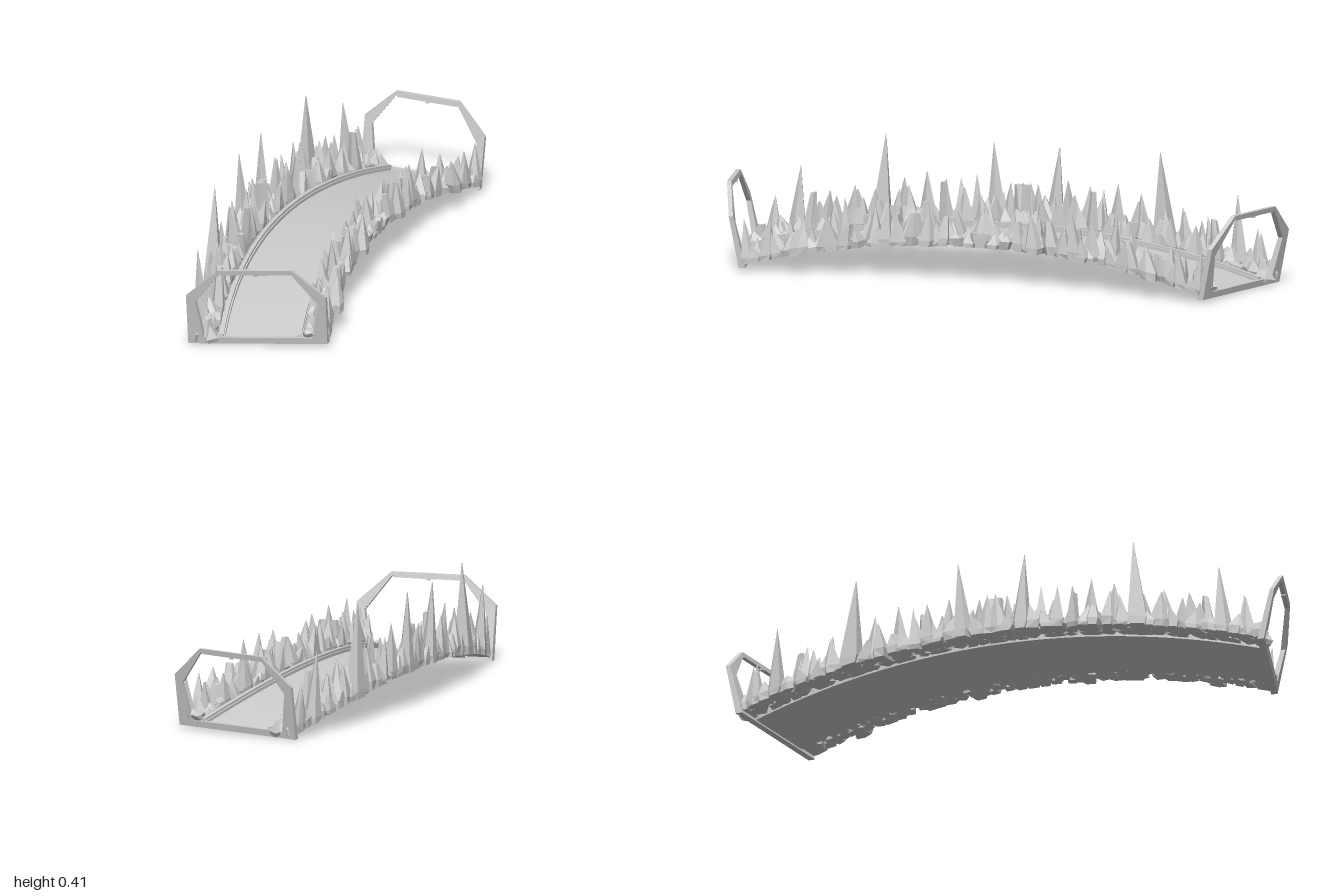
import * as THREE from 'three';
import { mergeGeometries } from 'three/addons/utils/BufferGeometryUtils.js';

const R = 4;            // plan radius of the curved road
const HALF = 0.905;     // half of the road length along the arc
const grey = (flatShading) => new THREE.MeshStandardMaterial({ color: 0xcccccc, flatShading });

// Maps road space (across, height, along) to the arched, bent and slightly banked road
function bend(v) {
  const t = v.z / R;
  return v.set(
    R - 0.045 - (R - v.x) * Math.cos(t),
    0.13 - 0.128 * v.z * v.z + 0.55 * v.x * t * t + v.y,
    (R - v.x) * Math.sin(t)
  );
}

// Moves every vertex of a geometry by a rule
function warp(geo, rule) {
  const p = geo.attributes.position, v = new THREE.Vector3();
  for (let i = 0; i < p.count; i++) {
    v.fromBufferAttribute(p, i);
    rule(v);
    p.setXYZ(i, v.x, v.y, v.z);
  }
  geo.computeVertexNormals();
  return geo;
}

// Copy reflected front to back, with the corner order restored
function mirrorZ(geo) {
  const g = geo.index ? geo.toNonIndexed() : geo.clone();
  const a = g.attributes.position.array;
  for (let i = 0; i < a.length; i += 9) {
    for (let k = 0; k < 3; k++) {
      const s = a[i + 3 + k];
      a[i + 3 + k] = a[i + 6 + k];
      a[i + 6 + k] = s;
    }
  }
  return warp(g, (v) => { v.z *= -1; });
}

// Seeded random numbers
function seeded(seed) {
  return () => {
    seed = (seed * 1664525 + 1013904223) % 4294967296;
    return seed / 4294967296;
  };
}

function strip(name, width, height, x, y) {
  const geo = new THREE.BoxGeometry(width, height, 2 * HALF, 1, 1, 48).translate(x, y, 0);
  const mesh = new THREE.Mesh(warp(geo, bend), grey(false));
  mesh.name = name;
  return mesh;
}

// One jagged shard with a narrow foot and a shifted tip, kept within the verge
function shard(side, [inner, outer], x, z, radius, height, tip, rnd) {
  const geo = new THREE.CylinderGeometry(1, 1, 1, rnd() < 0.6 ? 4 : 5, 2);
  geo.rotateY(rnd() * 6.28);
  const leanX = (rnd() - 0.5) * 0.024, leanZ = (rnd() - 0.5) * 0.04;
  const rings = [[0.8, -0.006], [1, 0.008 + rnd() * 0.018], [tip, height]];
  return warp(geo, (v) => {
    const [scale, y] = rings[Math.round((v.y + 0.5) * 2)];
    const up = y / height, r = radius * scale;
    const across = THREE.MathUtils.clamp(x + side * v.x * r + leanX * up, inner, outer);
    bend(v.set(side * across, y, z + v.z * r + leanZ * up));
  });
}

// Rocks of one side; the far half repeats the near half
function rocks(name, side, limits, rows, peaks, low, range, seed) {
  const rnd = seeded(seed), parts = [];
  rows.forEach((row, i) => {
    for (let z = 0.012; z < 0.9; z += 0.042) {
      const x = row + (rnd() - 0.5) * 0.02;
      // The row beside the kerb stays low near the gates
      const h = (low + range * rnd() ** 2) * (i === 0 && z > 0.75 ? 0.55 : 1);
      const tip = rnd() < 0.2 ? 0.4 : 0.06;
      parts.push(shard(side, limits, x, z + (rnd() - 0.5) * 0.025, 0.025 + rnd() * 0.015, h, tip, rnd));
    }
  });
  for (const [x, z, h, r] of peaks) parts.push(shard(side, [limits[0], x + 0.02], x, z, r, h, 0.03, rnd));
  const near = mergeGeometries(parts.map((g) => g.toNonIndexed()));
  const mesh = new THREE.Mesh(mergeGeometries([near, mirrorZ(near)]), grey(true));
  mesh.name = name;
  return mesh;
}

// Upright outlines are sheared into the slanted, outward-leaning gate plane
const gatePlane = (v) => {
  const depth = v.z * (0.016 + 0.008 * Math.max(0, 0.19 - v.y) / 0.19);
  v.z = 0.96 - 0.235 * (v.x + 0.185) + 0.2 * v.y - depth;
};

function gateGeometry() {
  const toPoints = (list) => list.map(([x, y]) => new THREE.Vector2(x, y));
  const frame = new THREE.Shape(toPoints([
    [-0.185, 0.003], [0.284, 0.015], [0.289, 0.195], [0.18, 0.297], [-0.067, 0.29], [-0.182, 0.19],
  ]));
  frame.holes.push(new THREE.Path(toPoints([
    [-0.132, 0.027], [-0.152, 0.165], [-0.064, 0.278], [0.176, 0.284], [0.26, 0.168], [0.234, 0.036],
  ])));
  // Depth runs backwards from the face, so the extrusion is turned over first
  const build = (shape) => {
    const g = mirrorZ(new THREE.ExtrudeGeometry(shape, { depth: 1, bevelEnabled: false }));
    return warp(g, (v) => { v.z = -v.z; gatePlane(v); });
  };
  // Bar under the top beam with a small central clip
  const bar = new THREE.Shape(toPoints([
    [-0.062, 0.272], [0.05, 0.275], [0.05, 0.27], [0.06, 0.27], [0.06, 0.275],
    [0.172, 0.279], [0.172, 0.286], [-0.062, 0.28],
  ]));
  return mergeGeometries([build(frame), build(bar)]);
}

export function createModel() {
  const model = new THREE.Group();
  model.name = 'archedRoad';

  // Road deck and its stepped kerb rails
  model.add(strip('roadDeck', 0.3, 0.01, 0, -0.007));
  for (const [label, s] of [['left', 1], ['right', -1]]) {
    model.add(strip(label + 'KerbBase', 0.022, 0.012, s * 0.134, 0.002));
    model.add(strip(label + 'KerbRail', 0.014, 0.008, s * 0.135, 0.012));
  }

  // Tall rocks on the outside of the bend: offset, distance along, height, radius
  model.add(rocks('rightRocks', -1, [0.147, 0.242], [0.168, 0.195, 0.222], [
    [0.228, 0.1, 0.275, 0.034], [0.232, 0.495, 0.315, 0.044], [0.225, 0.775, 0.24, 0.034],
    [0.22, 0.02, 0.14, 0.036], [0.2, 0.16, 0.17, 0.032], [0.22, 0.22, 0.15, 0.032],
    [0.2, 0.33, 0.18, 0.032], [0.22, 0.42, 0.16, 0.034], [0.21, 0.59, 0.15, 0.032],
    [0.22, 0.68, 0.14, 0.034], [0.22, 0.85, 0.15, 0.03],
  ], 0.05, 0.1, 11));

  // Lower rocks on the inside of the bend
  model.add(rocks('leftRocks', 1, [0.147, 0.24], [0.165, 0.192, 0.217], [
    [0.2, 0.02, 0.13, 0.034], [0.235, 0.21, 0.13, 0.038], [0.22, 0.37, 0.15, 0.034],
    [0.2, 0.51, 0.17, 0.032], [0.245, 0.69, 0.11, 0.04], [0.22, 0.81, 0.13, 0.034],
    [0.22, 0.88, 0.15, 0.03],
  ], 0.04, 0.09, 29));

  // Six-sided gates at both ends
  const gate = gateGeometry();
  for (const [name, geo] of [['frontGate', gate], ['backGate', mirrorZ(gate)]]) {
    const mesh = new THREE.Mesh(geo, grey(true));
    mesh.name = name;
    model.add(mesh);
  }
  return model;
}
